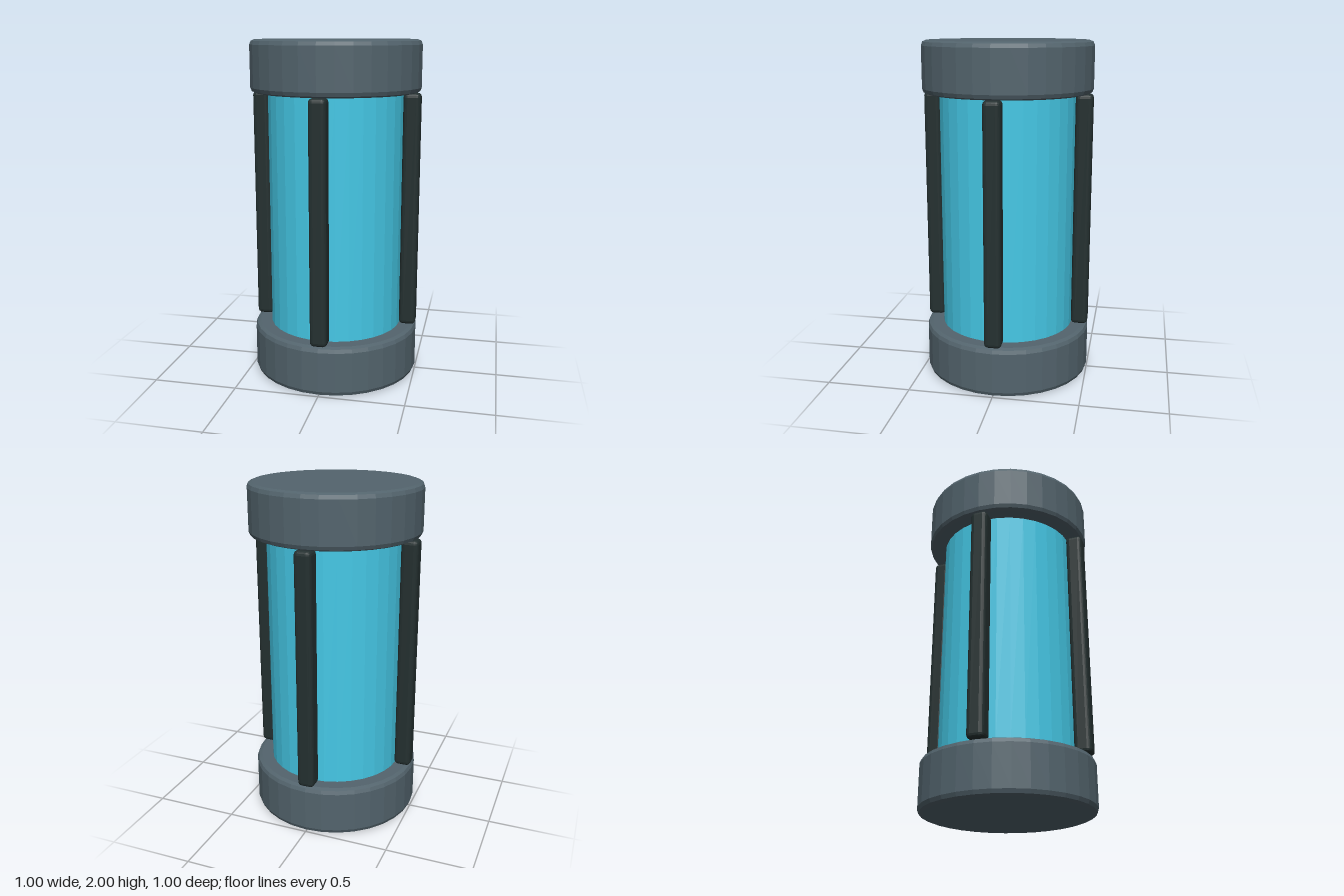
import * as THREE from 'three';
import { RoundedBoxGeometry } from 'three/addons/geometries/RoundedBoxGeometry.js';
import { toCreasedNormals } from 'three/addons/utils/BufferGeometryUtils.js';

const SIDES = 32;

function material(name, color) {
  const m = new THREE.MeshStandardMaterial({ color });
  m.name = name;
  return m;
}

function part(name, geometry, mat, x, y, z) {
  const mesh = new THREE.Mesh(toCreasedNormals(geometry, 0.1), mat);
  mesh.name = name;
  mesh.position.set(x, y, z);
  return mesh;
}

// Solid disc with softly bevelled rims, standing on y = 0
function capGeometry(radius, height, bevel) {
  const points = [new THREE.Vector2(0, 0)];
  for (const [centre, start] of [[bevel, -Math.PI / 2], [height - bevel, 0]]) {
    for (let i = 0; i <= 2; i++) {
      const a = start + (i * Math.PI) / 4;
      points.push(new THREE.Vector2(radius - bevel + bevel * Math.cos(a), centre + bevel * Math.sin(a)));
    }
  }
  points.push(new THREE.Vector2(0, height));
  return new THREE.LatheGeometry(points, SIDES);
}

export function createModel() {
  const group = new THREE.Group();
  group.name = 'energyCanister';
  const slate = material('slate grey', 0x53646d);
  const black = material('dark green black', 0x243030);
  const cyan = material('bright cyan', 0x45c8e6);

  // End caps
  const cap = capGeometry(0.5, 0.3, 0.03);
  group.add(part('bottomCap', cap, slate, 0, 0, 0));
  group.add(part('topCap', cap, slate, 0, 1.7, 0));

  // Glowing core
  group.add(part('core', new THREE.CylinderGeometry(0.4, 0.4, 1.4, SIDES, 1, true), cyan, 0, 1, 0));

  // Four protective bars around the core
  const bar = new RoundedBoxGeometry(0.1, 1.4, 0.1, 2, 0.025);
  ['frontBar', 'leftBar', 'backBar', 'rightBar'].forEach((name, i) => {
    const a = (i * Math.PI) / 2;
    group.add(part(name, bar, black, 0.45 * Math.sin(a), 1, 0.45 * Math.cos(a)));
  });

  return group;
}
